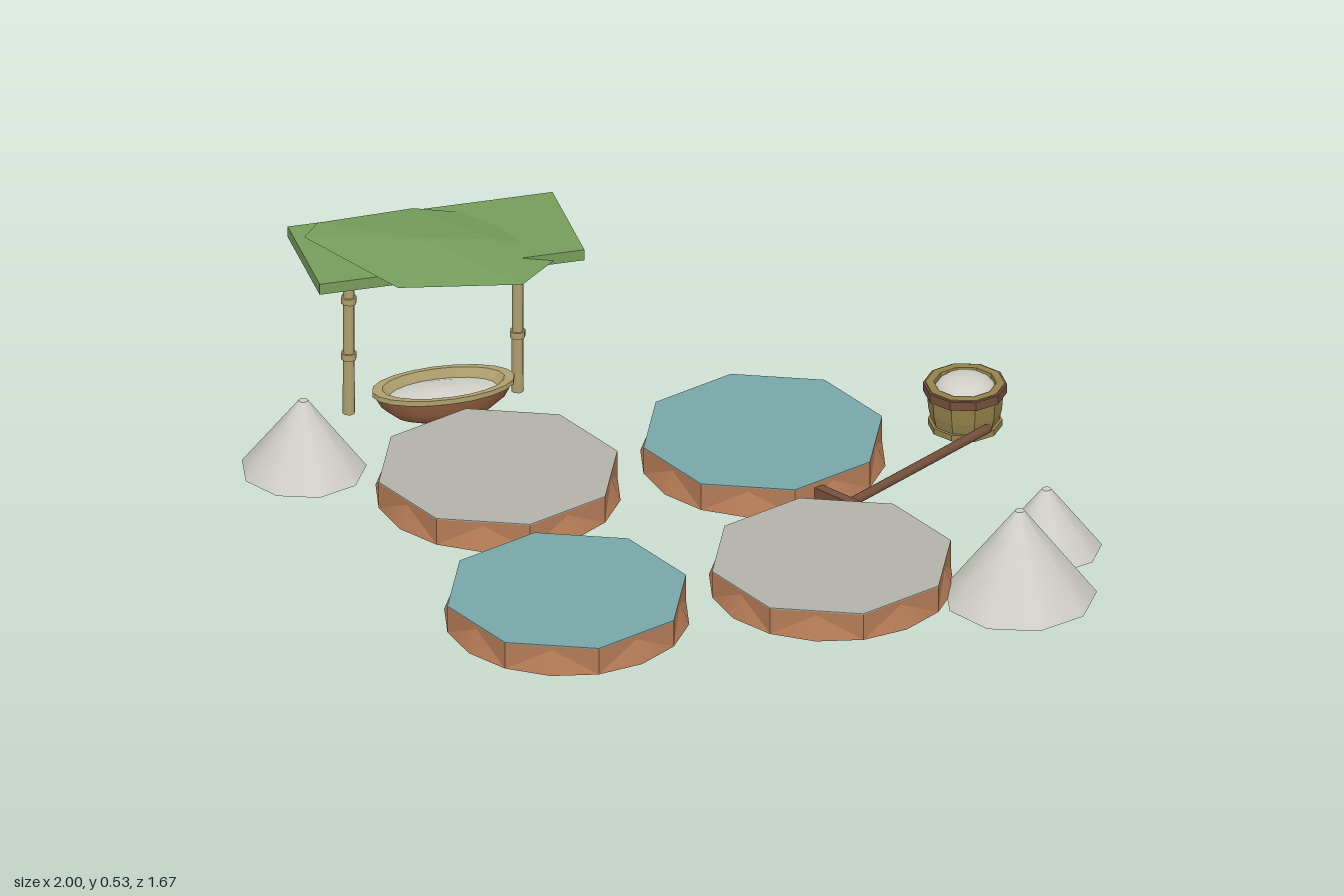
import * as THREE from 'three';

const mat = (name, color, side = THREE.FrontSide) => {
  const m = new THREE.MeshStandardMaterial({ color, side });
  m.name = name;
  return m;
};

export function createModel() {
  const root = new THREE.Group();
  root.name = 'saltPans';
  const clay = mat('clay brown', 0xb57b56);
  const water = mat('water teal', 0x78a6a7);
  const drySalt = mat('dry pan grey', 0xb2b1a9);
  const salt = mat('salt white', 0xcfcfc7);
  const bamboo = mat('bamboo tan', 0xb0a06e);
  const bucketWood = mat('bucket olive', 0x94814a);
  const darkWood = mat('dark wood', 0x74503c);
  const bowlWood = mat('bowl brown', 0x9a6444);
  const thatch = mat('roof green', 0x759d5b, THREE.DoubleSide);

  const add = (parent, name, geo, material, x = 0, y = 0, z = 0, flat = false) => {
    // Faceted parts get split vertices so every face has its own normal
    let g = geo;
    if (flat) {
      g = geo.index ? geo.toNonIndexed() : geo;
      g.computeVertexNormals();
    }
    const mesh = new THREE.Mesh(g, material);
    mesh.name = name;
    mesh.position.set(x, y, z);
    parent.add(mesh);
    return mesh;
  };
  const group = (name, x = 0, y = 0, z = 0) => {
    const g = new THREE.Group();
    g.name = name;
    g.position.set(x, y, z);
    root.add(g);
    return g;
  };
  const lathe = (pts, sides) =>
    new THREE.LatheGeometry(pts.map(([r, y]) => new THREE.Vector2(r, y)), sides);

  // Four evaporation pans: octagonal wall, flared foot and a thin surface
  const pans = [
    [-0.4, -0.215, drySalt], [0.29, -0.215, water],
    [-0.4, 0.45, water], [0.29, 0.45, drySalt],
  ];
  for (const [x, z, surface] of pans) {
    const pan = group('pan', x, 0, z);
    add(pan, 'panWall', new THREE.CylinderGeometry(0.311, 0.311, 0.072, 8), clay, 0, 0.036, 0, true);
    add(pan, 'panFoot', new THREE.CylinderGeometry(0.284, 0.311, 0.07, 16), clay, 0, 0.035, 0);
    add(pan, 'panSurface', new THREE.CylinderGeometry(0.311, 0.311, 0.003, 8), surface, 0, 0.0735, 0, true);
  }

  // Salt piles
  for (const [x, z, r, h] of [[-0.84, -0.465, 0.16, 0.195], [0.73, 0.638, 0.195, 0.243], [0.86, 0.415, 0.14, 0.167]]) {
    add(root, 'saltPile', new THREE.CylinderGeometry(0.012, r, h, 9, 3), salt, x, h / 2, z);
  }

  // Bucket with hoops and heaped salt
  const bucket = group('bucket', 0.825, 0, -0.245);
  add(bucket, 'bucketBody', lathe([
    [0, 0.002], [0.082, 0.002], [0.093, 0.05], [0.097, 0.1], [0.1, 0.1], [0.1, 0.125],
    [0.079, 0.125], [0.077, 0.1], [0, 0.1],
  ], 10), bucketWood, 0, 0, 0, true);
  add(bucket, 'topHoop', lathe([[0.096, 0.098], [0.106, 0.098], [0.106, 0.122], [0.096, 0.122]], 10), darkWood, 0, 0, 0, true);
  add(bucket, 'bottomHoop', lathe([[0.08, 0.003], [0.094, 0.003], [0.094, 0.02], [0.08, 0.02]], 10), bucketWood, 0, 0, 0, true);
  const heap = add(bucket, 'bucketSalt',
    new THREE.SphereGeometry(0.078, 16, 6, 0, Math.PI * 2, 0, Math.PI / 2), salt, 0, 0.105, 0);
  heap.scale.y = 0.5;

  // Rake lying between the pans, handle ending at the bucket
  const head = new THREE.Vector3(0.41, 0.04, 0.145);
  const tip = new THREE.Vector3(0.86, 0.035, -0.148);
  const dir = tip.clone().sub(head);
  const rake = group('rake', head.x, head.y, head.z);
  rake.rotation.y = Math.atan2(-dir.z, dir.x);
  const handle = add(rake, 'rakeHandle', new THREE.CylinderGeometry(0.012, 0.012, dir.length(), 8), darkWood, dir.length() / 2, 0, 0);
  handle.rotation.z = Math.PI / 2;
  add(rake, 'rakeHead', new THREE.BoxGeometry(0.025, 0.04, 0.19), darkWood);

  // Long wooden bowl filled with salt
  const bowl = group('bowl', -0.435, 0, -0.615);
  bowl.scale.set(0.185, 1, 0.088);
  add(bowl, 'bowlShell', lathe([
    [0, 0.004], [0.38, 0.008], [0.66, 0.026], [0.87, 0.058], [0.97, 0.092],
  ], 20), bowlWood);
  add(bowl, 'bowlRim', lathe([
    [0.95, 0.088], [1, 0.092], [1, 0.106], [0.86, 0.106], [0.74, 0.078],
  ], 20), bamboo, 0, 0, 0, true);
  add(bowl, 'bowlSalt', lathe([[0.8, 0.08], [0.5, 0.09], [0, 0.094]], 20), salt);

  // Shelter: two jointed bamboo posts under a flat roof
  const shelter = group('shelter');
  for (const x of [-0.655, -0.215]) {
    add(shelter, 'post', new THREE.CylinderGeometry(0.014, 0.016, 0.46, 8), bamboo, x, 0.23, -0.713);
    for (const y of [0.165, 0.325]) {
      add(shelter, 'postJoint', new THREE.CylinderGeometry(0.02, 0.02, 0.018, 8), bamboo, x, y, -0.713);
    }
  }
  add(shelter, 'roofBoard', new THREE.BoxGeometry(0.69, 0.03, 0.31), thatch, -0.435, 0.47, -0.685);

  // Crumpled leaf sheet: a rim fanned around a ridge point
  const peak = [-0.5, 0.528, -0.62];
  const rim = [
    [-0.46, 0.505, -0.815], [-0.72, 0.522, -0.775], [-0.77, 0.52, -0.715], [-0.6, 0.497, -0.44],
    [-0.285, 0.48, -0.405], [-0.17, 0.465, -0.53], [-0.08, 0.443, -0.625], [-0.2, 0.462, -0.78],
  ];
  const ridge = [-0.31, 0.505, -0.61];
  const tris = [];
  rim.forEach((p, i) => {
    const q = rim[(i + 1) % rim.length];
    tris.push(...(i < 4 ? peak : ridge), ...p, ...q);
  });
  tris.push(...peak, ...rim[4], ...ridge, ...peak, ...ridge, ...rim[0]);
  const leaf = new THREE.BufferGeometry();
  leaf.setAttribute('position', new THREE.Float32BufferAttribute(tris, 3));
  add(shelter, 'roofLeaf', leaf, thatch, 0, 0, 0, true);

  return root;
}
